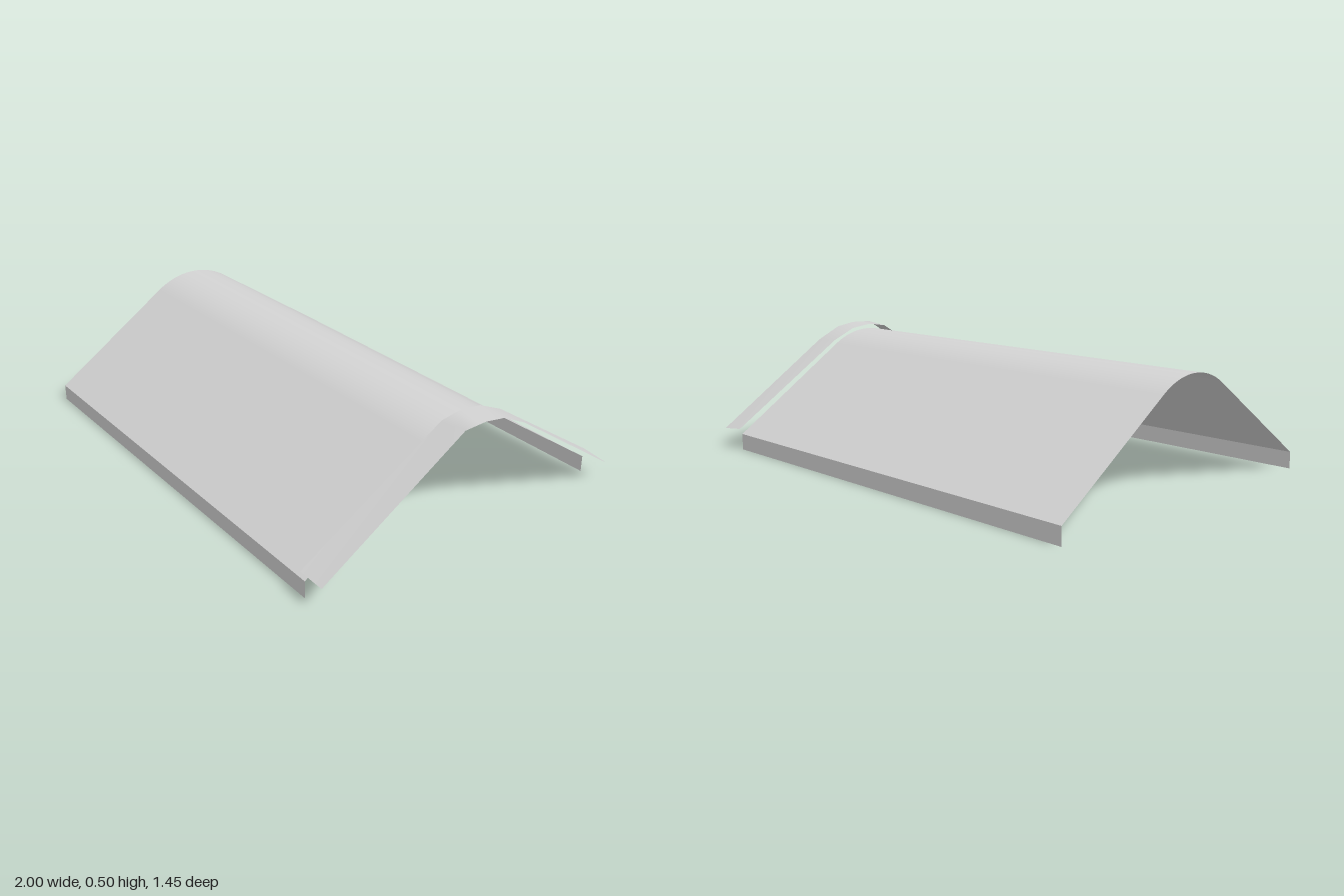
import * as THREE from 'three';

// Ruled sheet between two [z, y] profiles placed at x0 and x1
function ruledSheet(profileA, profileB, x0, x1) {
  const positions = [], index = [];
  profileA.forEach(([z, y], i) => {
    positions.push(x0, y, z, x1, profileB[i][1], profileB[i][0]);
    if (i === 0) return;
    const a = 2 * (i - 1), b = a + 1, c = a + 2, d = a + 3;
    index.push(a, b, c, b, d, c);
  });
  const geometry = new THREE.BufferGeometry();
  geometry.setAttribute('position', new THREE.Float32BufferAttribute(positions, 3));
  geometry.setIndex(index);
  geometry.computeVertexNormals();
  return geometry;
}

export function createModel() {
  const model = new THREE.Group();
  const sheetGrey = new THREE.MeshStandardMaterial({ color: 0xd4d4d4, side: THREE.DoubleSide });
  sheetGrey.name = 'light grey sheet';

  const add = (name, geometry) => {
    const mesh = new THREE.Mesh(geometry, sheetGrey);
    mesh.name = name;
    model.add(mesh);
    return mesh;
  };

  const left = 0.89, right = -1, eaveZ = 0.708, eaveY = 0.07;

  // Roof: straight slopes joined by a rounded ridge
  const bendZ = 0.18, slope = 0.675;
  const angle = Math.atan(slope), radius = bendZ / Math.sin(angle);
  const bendY = eaveY + (eaveZ - bendZ) * slope;
  const centreY = bendY - radius * Math.cos(angle);
  const profile = [[eaveZ, eaveY]];
  const steps = 16;
  for (let i = 0; i <= steps; i++) {
    const t = angle * (1 - (2 * i) / steps);
    profile.push([radius * Math.sin(t), centreY + radius * Math.cos(t)]);
  }
  profile.push([-eaveZ, eaveY]);
  add('roofSheet', ruledSheet(profile, profile, right, left));

  // Vertical flanges hanging from both eaves
  for (const side of [1, -1]) {
    const flange = new THREE.PlaneGeometry(left - right, eaveY);
    if (side < 0) flange.rotateY(Math.PI);
    const mesh = add(side > 0 ? 'frontFlange' : 'backFlange', flange);
    mesh.position.set((left + right) / 2, eaveY / 2, side * eaveZ);
  }

  // Slightly twisted cover strip lapping over the end of the roof
  const inner = [[0.72, 0.11], [0.1, 0.488], [0.03, 0.5], [0, 0.502],
    [-0.09, 0.491], [-0.2, 0.442], [-0.725, 0.097]];
  const outer = [[0.72, 0.11], [0.1, 0.499], [0.03, 0.502], [0, 0.503],
    [-0.09, 0.489], [-0.2, 0.436], [-0.725, 0.083]];
  add('endCoverStrip', ruledSheet(inner, outer, 0.88, 1));

  return model;
}
